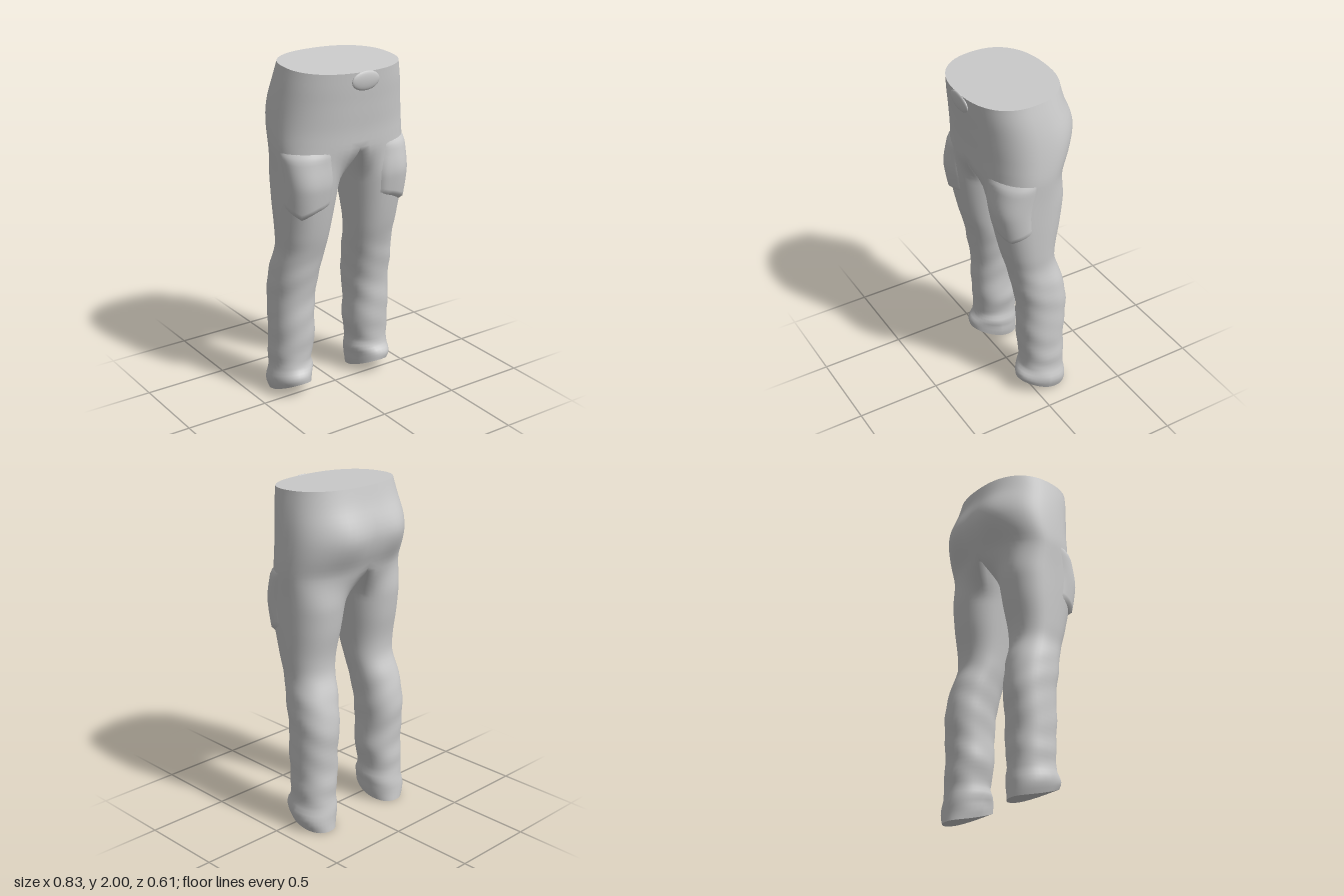
import * as THREE from 'three';
import { mergeVertices } from 'three/addons/utils/BufferGeometryUtils.js';

// Height, outer x, inner x, front z, back z; one row per height
const ROWS = [
  [0.00, 0.392, 0.165, 0.088, -0.222],
  [0.05, 0.412, 0.157, 0.092, -0.220],
  [0.10, 0.412, 0.152, 0.084, -0.217],
  [0.14, 0.400, 0.143, 0.068, -0.210],
  [0.20, 0.394, 0.154, 0.055, -0.208],
  [0.27, 0.400, 0.148, 0.056, -0.212],
  [0.36, 0.396, 0.132, 0.066, -0.205],
  [0.50, 0.397, 0.139, 0.070, -0.215],
  [0.64, 0.395, 0.128, 0.076, -0.220],
  [0.80, 0.392, 0.114, 0.104, -0.195],
  [0.93, 0.376, 0.095, 0.134, -0.152],
  [1.02, 0.382, 0.085, 0.160, -0.150],
  [1.20, 0.391, 0.060, 0.199, -0.182],
  [1.40, 0.399, 0.030, 0.232, -0.210],
  [1.50, 0.405, 0.012, 0.243, -0.228],
  [1.54, 0.407, 0.000, 0.247, -0.238],
  [1.64, 0.402, 0.000, 0.254, -0.277],
  [1.73, 0.393, 0.000, 0.265, -0.296],
  [1.80, 0.383, 0.000, 0.273, -0.290],
  [1.90, 0.365, 0.000, 0.284, -0.262],
  [2.00, 0.343, 0.000, 0.293, -0.240],
];
const CROTCH = 1.54, OUTER = 28, INNER = 8;
const profile = new THREE.CubicInterpolant(ROWS.map(r => r[0]), ROWS.flatMap(r => r.slice(1)), 4, new Float32Array(4));
const power = (v, p) => Math.sign(v) * Math.pow(Math.abs(v), p);
const { smoothstep, degToRad } = THREE.MathUtils;

// Point of the +x half: u 0..1 runs front to back round the outside, 1..2 returns along the inseam
function skin(y, u, offset = 0) {
  let [xo, xi, zf, zb] = profile.evaluate(y);
  if (y >= CROTCH) xi = 0;
  const zc = (zf + zb) / 2, rz = (zf - zb) / 2;
  // Half-pelvis section
  const a = Math.PI * Math.min(u, 1);
  const px = u <= 1 ? xi + (xo - xi) * power(Math.sin(a), 0.85) : xi;
  const pz = u <= 1 ? zc + rz * power(Math.cos(a), 0.85) : zb + (zf - zb) * (u - 1);
  // Closed leg section: fuller at the front outside of the thigh, more pointed at the front of the hem
  const b = degToRad(u <= 1 ? -50 + 280 * u : 230 + 80 * (u - 1));
  const xc = (xo + xi) / 2, rx = (xo - xi) / 2;
  const front = Math.cos(b) > 0, outside = Math.sin(b) > 0;
  const full = front && outside ? 0.15 * smoothstep(y, 1.0, 1.3) : 0;
  const point = front ? 0.5 * (1 - smoothstep(y, 0.03, 0.2)) : 0;
  const lx = xc + rx * power(Math.sin(b), 0.9 - full);
  const lz = zc + rz * power(Math.cos(b), 0.9 - full + point);
  const w = 1 - smoothstep(y, 1.32, CROTCH);
  let x = px + (lx - px) * w, z = pz + (lz - pz) * w;
  // Seat cheeks
  if (z < zc) z -= 0.025 * Math.exp(-(((x - 0.18) / 0.11) ** 2) - (((y - 1.73) / 0.13) ** 2));
  // Diagonal cloth folds below the knee
  const fold = 0.003 * Math.sin(34 * y + 2 * b) * Math.sin(9 * y + b) * (1 - smoothstep(y, 0.75, 1.05));
  // Push outwards from the middle of the leg
  x += Math.sin(b) * (fold + offset);
  z += Math.cos(b) * (fold + offset);
  // Slanted hem and waist
  const hem = Math.max(0, (z + 0.22) / 0.31);
  if (y < 0.25) y += 0.1 * Math.pow(hem, 1.6) * (1 - y / 0.25);
  if (y > 1.8) y -= 0.03 * ((z + 0.24) / 0.53) * ((y - 1.8) / 0.2);
  return new THREE.Vector3(x, y, z);
}

// Collects triangles for either side of the mirror plane
function builder() {
  const pos = [];
  const tri = (a, b, c, side) => {
    for (const p of side > 0 ? [a, b, c] : [a, c, b]) pos.push(p.x * side, p.y, p.z);
  };
  return {
    tri,
    // Grid of rows from top to bottom
    grid(rows, side) {
      for (let r = 0; r + 1 < rows.length; r++) {
        for (let i = 0; i + 1 < rows[r].length; i++) {
          const [a, b, c, d] = [rows[r][i], rows[r][i + 1], rows[r + 1][i + 1], rows[r + 1][i]];
          tri(a, d, b, side);
          tri(b, d, c, side);
        }
      }
    },
    geometry() {
      let g = new THREE.BufferGeometry();
      g.setAttribute('position', new THREE.Float32BufferAttribute(pos, 3));
      g = mergeVertices(g, 1e-5);
      g.computeVertexNormals();
      return g;
    },
  };
}

const outerRing = y => Array.from({ length: OUTER + 1 }, (_, i) => skin(y, i / OUTER));
function legRing(y) {
  const ring = outerRing(y);
  for (let i = 1; i < INNER; i++) ring.push(skin(y, 1 + i / INNER));
  ring.push(ring[0].clone());
  return ring;
}
const steps = (from, to, n) => Array.from({ length: n + 1 }, (_, i) => from + (to - from) * i / n);

export function createModel() {
  const group = new THREE.Group();
  group.name = 'trousers';
  const material = new THREE.MeshStandardMaterial({ color: 0xcccccc, side: THREE.DoubleSide });
  const add = (name, geometry) => {
    const mesh = new THREE.Mesh(geometry, material);
    mesh.name = name;
    group.add(mesh);
    return mesh;
  };

  // Pelvis and both legs as one welded skin
  const cloth = builder(), waist = builder(), hems = builder();
  const pelvis = steps(2, CROTCH, 14).map(outerRing);
  const leg = steps(CROTCH, 0, 56).map(legRing);
  const top = pelvis[0], hem = leg[leg.length - 1];
  const waistCentre = new THREE.Vector3(0, (top[0].y + top[OUTER].y) / 2, 0.03);
  const hemCentre = hem.slice(1).reduce((s, p) => s.add(p), new THREE.Vector3()).divideScalar(hem.length - 1);
  for (const side of [1, -1]) {
    cloth.grid(pelvis, side);
    cloth.grid(leg, side);
    // Closing faces at the waist and under the legs
    for (let i = 0; i < OUTER; i++) waist.tri(top[i], top[i + 1], waistCentre, side);
    for (let i = 0; i + 1 < hem.length; i++) hems.tri(hem[i + 1], hem[i], hemCentre, side);
  }
  add('pelvisAndLegs', cloth.geometry());
  add('waistTop', waist.geometry());
  add('hemBottoms', hems.geometry());

  // Thigh pockets: bulging patches with a pointed lower edge that fade into the thigh at the sides
  const N = 18;
  const pocketRows = steps(0, 1, N).map((t, r) => steps(0, 1, N).map((s, i) => {
    const bottom = 1.15 + 0.07 * Math.abs(s - 0.55) / 0.5;
    const edge = r === 0 || r === N || i === 0 || i === N;
    const bulge = 0.02 * Math.pow(Math.sin(Math.PI * s), 0.8) * smoothstep(t, -0.05, 0.14);
    return skin(1.535 + (bottom - 1.535) * t, 0.12 + 0.34 * s, edge ? -0.003 : bulge);
  }));
  for (const [name, side] of [['leftPocket', 1], ['rightPocket', -1]]) {
    const pocket = builder();
    pocket.grid(pocketRows, side);
    add(name, pocket.geometry());
  }

  // Oval buckle at the front of the waist
  const buckle = add('buckle', new THREE.SphereGeometry(1, 24, 12));
  buckle.scale.set(0.09, 0.055, 0.016);
  buckle.position.set(0, 1.92, 0.287);
  buckle.rotation.x = 0.1;

  return group;
}
